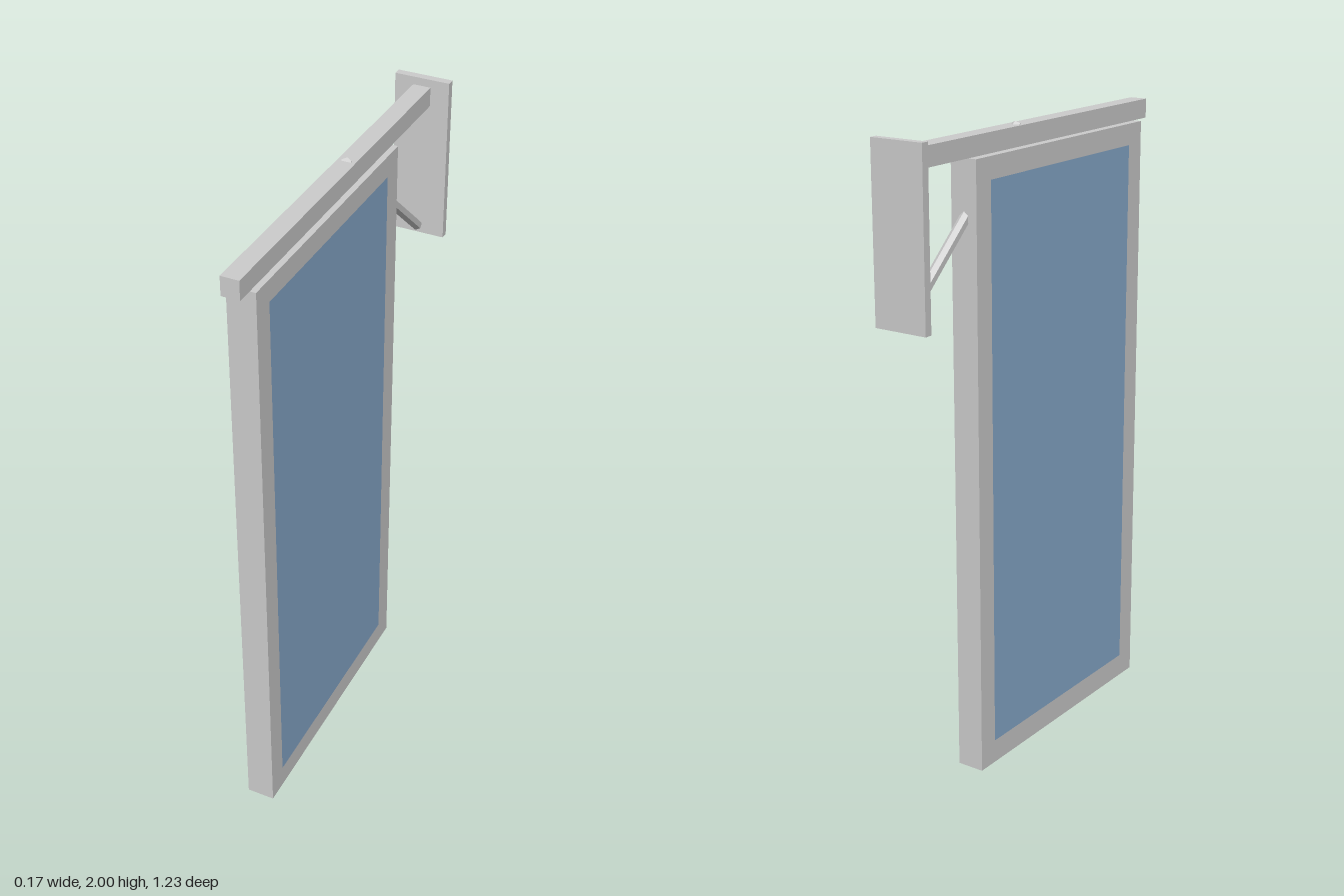
import * as THREE from 'three';

export function createModel() {
  const model = new THREE.Group();
  model.name = 'hangingSign';
  const metal = new THREE.MeshStandardMaterial({ color: 0xcccccc });
  metal.name = 'light grey metal';
  const blue = new THREE.MeshStandardMaterial({ color: 0x88aacc });
  blue.name = 'blue panel';

  const add = (name, geometry, material) => {
    const mesh = new THREE.Mesh(geometry, material);
    mesh.name = name;
    model.add(mesh);
    return mesh;
  };

  // Box given by its half width in x and its y and z ranges
  const box = (name, halfX, y0, y1, z0, z1, material) =>
    add(name, new THREE.BoxGeometry(halfX * 2, y1 - y0, z1 - z0), material)
      .position.set(0, (y0 + y1) / 2, (z0 + z1) / 2);

  // Rectangular outline in (-z, y)
  const rect = (path, z0, z1, y0, y1) =>
    path.moveTo(-z1, y0).lineTo(-z0, y0).lineTo(-z0, y1).lineTo(-z1, y1).closePath();

  // Sign frame with a window cut through it
  const outline = rect(new THREE.Shape(), -0.32, 0.56, 0, 1.912);
  outline.holes.push(rect(new THREE.Path(), -0.25, 0.49, 0.075, 1.845));
  const frame = new THREE.ExtrudeGeometry(outline, { depth: 0.088, bevelEnabled: false });
  frame.translate(0, 0, -0.044).rotateY(Math.PI / 2);
  add('signFrame', frame, metal);

  // Flush panel filling the window
  box('signPanel', 0.044, 0.075, 1.845, -0.25, 0.49, blue);

  // Wall plate and horizontal arm
  box('wallPlate', 0.0875, 1.475, 2, -0.615, -0.59, metal);
  box('supportArm', 0.028, 1.915, 1.975, -0.59, 0.615, metal);

  // Six-sided diagonal brace from the wall plate to the arm
  const low = new THREE.Vector3(0, 1.502, -0.585);
  const high = new THREE.Vector3(0, 1.972, -0.059);
  const span = high.clone().sub(low);
  const braceGeometry = new THREE.CylinderGeometry(0.017, 0.017, span.length(), 6).toNonIndexed();
  braceGeometry.computeVertexNormals();
  const brace = add('diagonalBrace', braceGeometry, metal);
  brace.position.copy(low).add(high).multiplyScalar(0.5);
  brace.rotation.x = Math.atan2(span.z, span.y);

  return model;
}
